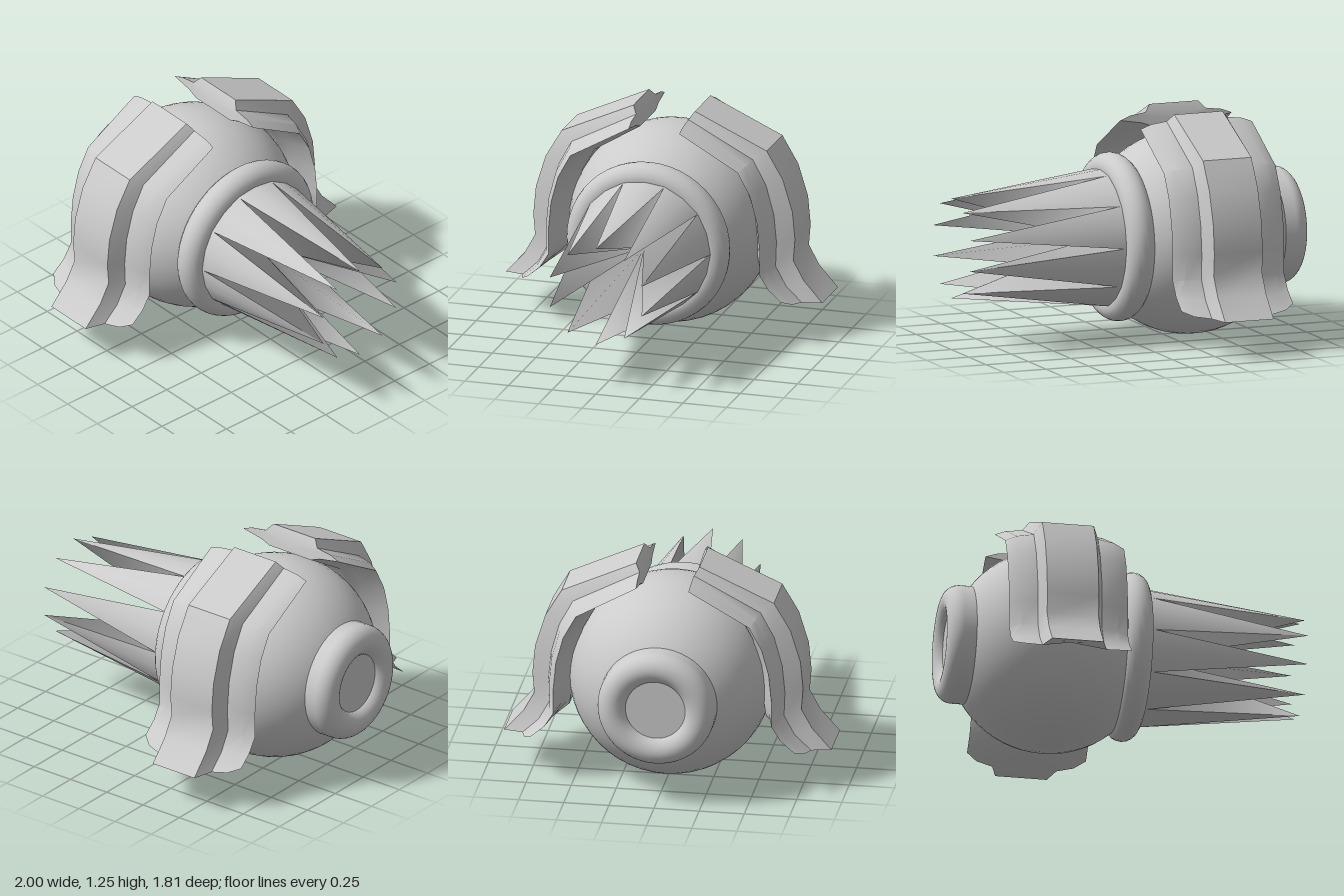
import * as THREE from 'three';
import { toCreasedNormals } from 'three/addons/utils/BufferGeometryUtils.js';

const AXIS_Y = 0.567;
const BODY_X = -0.39;
const grey = new THREE.MeshStandardMaterial({ color: 0xcccccc });

function add(parent, name, geometry) {
  const mesh = new THREE.Mesh(geometry, grey);
  mesh.name = name;
  parent.add(mesh);
  return mesh;
}

function fromTriangles(points, index) {
  const g = new THREE.BufferGeometry();
  g.setAttribute('position', new THREE.Float32BufferAttribute(points.flat(), 3));
  g.setIndex(index);
  g.computeVertexNormals();
  return g;
}

// Curved side plate: cross-sections swept from the top end down to the flared foot.
function plateGeometry() {
  // Each station: [z, y] of the raised band, the step, the rim and the inner face
  const stations = [
    [[0.176, 1.254], [0.15, 1.215], [0.145, 1.18], [0.137, 1.137]],
    [[0.588, 1.066], [0.52, 1.02], [0.48, 0.99], [0.4, 0.975]],
    [[0.68, 0.91], [0.595, 0.88], [0.55, 0.86], [0.47, 0.85]],
    [[0.735, 0.73], [0.64, 0.715], [0.59, 0.71], [0.515, 0.7]],
    [[0.75, 0.57], [0.655, 0.56], [0.605, 0.55], [0.53, 0.56]],
    [[0.74, 0.45], [0.65, 0.42], [0.605, 0.41], [0.535, 0.46]],
    [[0.8, 0.34], [0.71, 0.31], [0.655, 0.33], [0.54, 0.43]],
    [[0.907, 0.22], [0.8, 0.225], [0.73, 0.265], [0.544, 0.4]],
  ];
  const mix = (a, b, t) => [a[0] + (b[0] - a[0]) * t, a[1] + (b[1] - a[1]) * t];
  const points = [], index = [];
  for (const [band, step, rim, inner] of stations) {
    const half = [[0.33, rim], [0.27, mix(rim, step, 0.65)], [0.178, step], [0.143, band]];
    const under = [[0.143, inner], [0.2, mix(inner, rim, 0.5)]];
    const flip = list => list.map(([x, p]) => [-x, p]);
    const loop = [...half, ...flip(half).reverse(), ...flip(under).reverse(), ...under];
    for (const [x, [z, y]] of loop) points.push([x, y, z]);
  }
  const n = points.length / stations.length, last = stations.length - 1;
  for (let i = 0; i < last; i++) {
    for (let j = 0; j < n; j++) {
      const k = (j + 1) % n, a = i * n + j, b = i * n + k;
      index.push(a, b, b + n, a, b + n, a + n);
    }
  }
  // End caps
  for (const s of [0, last]) {
    const centre = points.length;
    const mid = mix(stations[s][1], stations[s][3], 0.5);
    points.push([0, mid[1], mid[0]]);
    for (let j = 0; j < n; j++) {
      const a = s * n + j, b = s * n + (j + 1) % n;
      index.push(centre, ...(s === 0 ? [b, a] : [a, b]));
    }
  }
  return toCreasedNormals(fromTriangles(points, index), 0.6);
}

// Crown of ten long points around the x axis, folded in to a central hub.
function addSpikes(parent) {
  const N = 20;
  const ring = (xOf, rOf) => Array.from({ length: N }, (_, k) => {
    const t = k / N * Math.PI * 2;
    return [xOf(k), rOf(k) * Math.cos(t), rOf(k) * Math.sin(t)];
  });
  const base = ring(() => 0.05, () => 0.385);
  const edge = ring(k => (k % 2 ? 0.13 : 1), k => (k % 2 ? 0.38 : 0.277));
  const outer = [], inner = [];
  for (let k = 0; k < N; k++) {
    const m = (k + 1) % N, e = N + k, f = N + m;
    if (k % 2) outer.push(k, m, e, m, f, e);
    else outer.push(k, m, f, k, f, e);
    inner.push(N, k, m);
  }
  add(parent, 'spikeOuterFaces', fromTriangles([...base, ...edge], outer));
  add(parent, 'spikeInnerFaces', fromTriangles([...edge, [0.12, 0, 0]], inner));
}

export function createModel() {
  const model = new THREE.Group();
  model.name = 'model';

  // Parts turned around the x axis
  const barrel = new THREE.Group();
  barrel.name = 'barrel';
  barrel.position.y = AXIS_Y;
  model.add(barrel);

  const ball = new THREE.SphereGeometry(0.562, 48, 32).rotateZ(Math.PI / 2);
  add(barrel, 'body', ball).position.x = BODY_X;

  const collar = new THREE.TorusGeometry(0.384, 0.081, 20, 48).rotateY(Math.PI / 2);
  add(barrel, 'collar', collar).position.x = 0.039;

  // Rear ring with a rounded lip and a sunken disc
  const profile = [new THREE.Vector2(0.325, 0.8)];
  for (let i = 0; i <= 16; i++) {
    const a = i / 16 * Math.PI;
    profile.push(new THREE.Vector2(0.24 + 0.085 * Math.cos(a), 0.915 + 0.085 * Math.sin(a)));
  }
  add(barrel, 'rearRing', new THREE.LatheGeometry(profile, 48).rotateZ(Math.PI / 2));
  const disc = new THREE.CircleGeometry(0.18, 40).rotateY(-Math.PI / 2);
  add(barrel, 'rearDisc', disc).position.x = -0.955;

  const spikes = new THREE.Group();
  spikes.name = 'spikes';
  barrel.add(spikes);
  addSpikes(spikes);

  // Front and back plates
  const plate = plateGeometry();
  add(model, 'frontPlate', plate).position.x = BODY_X;
  const back = add(model, 'backPlate', plate);
  back.position.x = BODY_X;
  back.rotation.y = Math.PI;

  return model;
}
